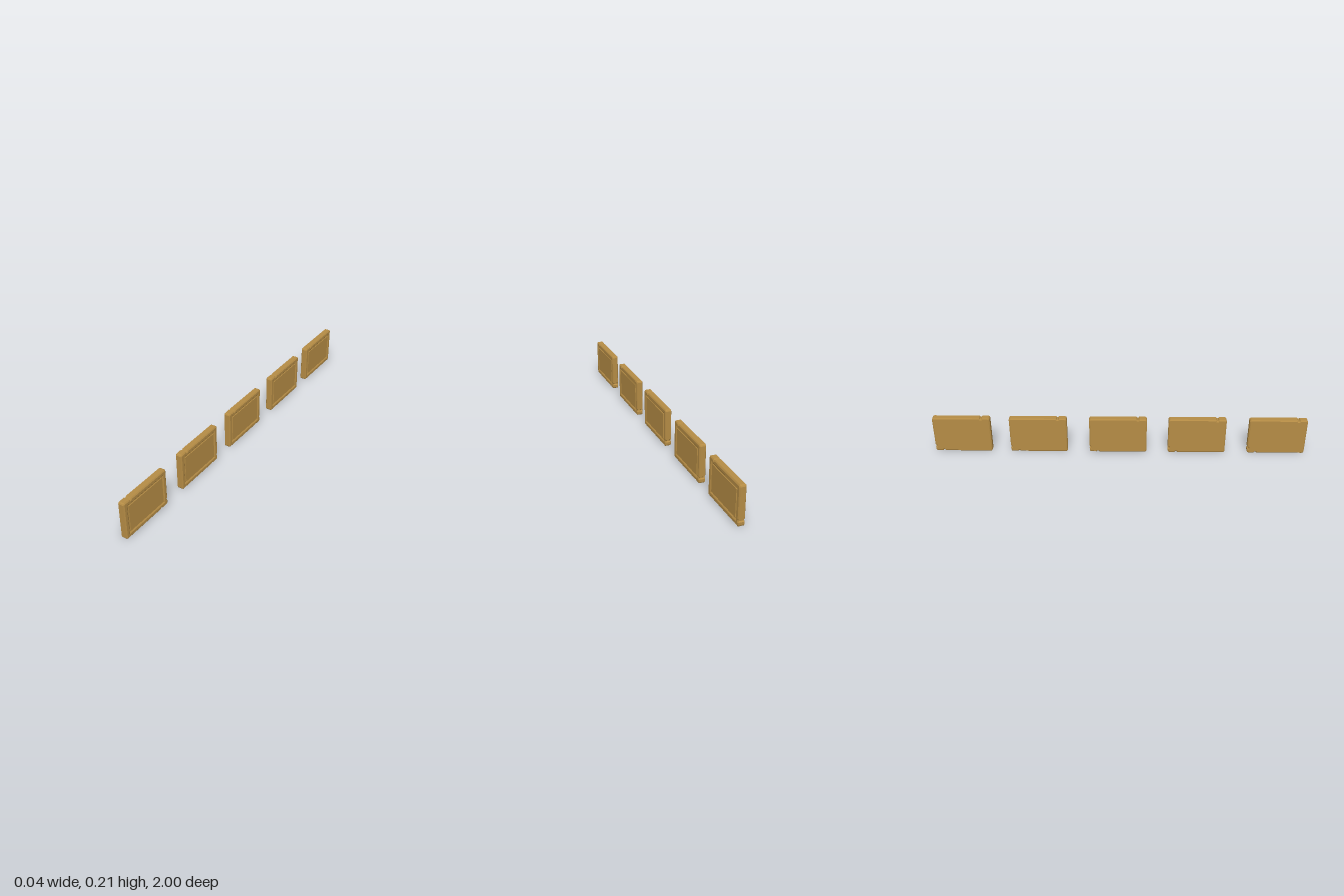
import * as THREE from 'three';

const LENGTH = 0.308, HEIGHT = 0.208, HALF_THICK = 0.0177;
const JOIN = 0.0085;               // depth at which rear shell meets front frame
const BEVEL = 0.004, INSET = 0.006;

// Outline of one plaque: clipped corners plus three shallow notches
function plaqueOutline() {
  const w = LENGTH / 2, h = HEIGHT, r = 0.009, k = 0.003;
  const d = 0.006, a = 0.007, b = 0.003; // notch depth, outer and inner half-widths
  const top = -w + 0.048, bottom = w - 0.045, end = 0.03;
  const points = [
    [-w + r, 0], [bottom - a, 0], [bottom - b, d], [bottom + b, d], [bottom + a, 0],
    [w - r, 0], [w - k, k], [w, r],
    [w, end - a], [w - d, end - b], [w - d, end + b], [w, end + a],
    [w, h - r], [w - k, h - k], [w - r, h],
    [top + a, h], [top + b, h - d], [top - b, h - d], [top - a, h],
    [-w + r, h], [-w + k, h - k], [-w, h - r], [-w, r], [-w + k, k],
  ];
  return new THREE.Shape(points.map(([u, v]) => new THREE.Vector2(u, v)));
}

// Bevelled slab whose straight sides run from x0 to x1
function slab(shape, x0, x1) {
  const geometry = new THREE.ExtrudeGeometry(shape, {
    depth: x1 - x0, bevelEnabled: true, bevelSegments: 1,
    bevelThickness: BEVEL, bevelSize: INSET, bevelOffset: -INSET,
  });
  geometry.translate(0, 0, x0);
  geometry.rotateY(Math.PI / 2);
  return geometry;
}

export function createModel() {
  const model = new THREE.Group();
  model.name = 'plaqueRow';
  const material = new THREE.MeshStandardMaterial({ color: 0xb58c45 });

  // Rear shell, also the floor of the groove
  const shellGeometry = slab(plaqueOutline(), -HALF_THICK + BEVEL, JOIN);

  // Front frame with a rectangular opening
  const frameShape = plaqueOutline();
  const m = 0.026, w = LENGTH / 2 - m;
  frameShape.holes.push(new THREE.Path([
    new THREE.Vector2(-w, m), new THREE.Vector2(-w, HEIGHT - m),
    new THREE.Vector2(w, HEIGHT - m), new THREE.Vector2(w, m),
  ]));
  const frameGeometry = slab(frameShape, JOIN, HALF_THICK - BEVEL);

  // Raised centre panel, leaving a narrow groove around it
  const gap = 0.006;
  const panelGeometry = new THREE.BoxGeometry(0.01, HEIGHT - 2 * (m + gap), 2 * (w - gap));
  panelGeometry.translate(HALF_THICK - 0.006, HEIGHT / 2, 0);

  // Five identical plaques in a row
  [0.846, 0.416, -0.008, -0.436, -0.846].forEach((z, i) => {
    const plaque = new THREE.Group();
    plaque.name = `plaque${i + 1}`;
    const parts = { rearShell: shellGeometry, frontFrame: frameGeometry, centrePanel: panelGeometry };
    for (const [name, geometry] of Object.entries(parts)) {
      const mesh = new THREE.Mesh(geometry, material);
      mesh.name = name;
      plaque.add(mesh);
    }
    plaque.position.z = z;
    model.add(plaque);
  });
  return model;
}
